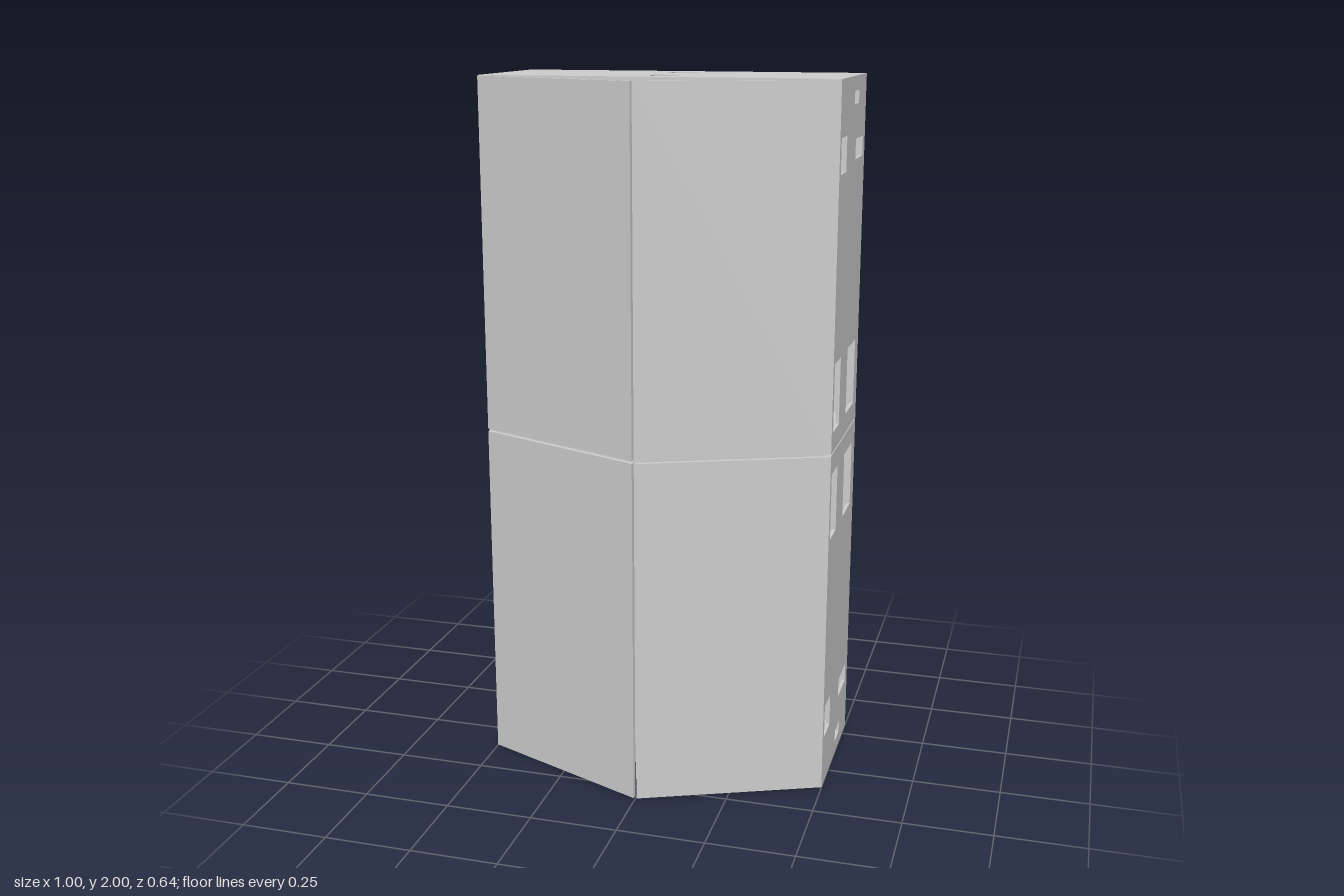
import * as THREE from 'three';

const T = 0.01; // panel thickness
const BACK = -0.311, FRONT = 0.105;
const material = new THREE.MeshStandardMaterial({ color: 0xcccccc, flatShading: true });

// Closed outline from a list of [x, y] corners
function outline(points, Type = THREE.Shape) {
  return new Type(points.map(([x, y]) => new THREE.Vector2(x, y)));
}
const rect = (x0, x1, y0, y1) => [[x0, y0], [x1, y0], [x1, y1], [x0, y1]];

// Flat sheet with rectangular cut-outs, each [x0, x1, y0, y1]
function sheet(bounds, holes, depth = T) {
  const shape = outline(rect(...bounds));
  holes.forEach((h) => shape.holes.push(outline(rect(...h).reverse(), THREE.Path)));
  return new THREE.ExtrudeGeometry(shape, { depth, bevelEnabled: false });
}

function add(group, name, geometry) {
  const mesh = new THREE.Mesh(geometry, material);
  mesh.name = name;
  group.add(mesh);
}

// Cut-outs in the equipped side: [z0, z1, y0, y1], given for the upper cabinet
const sideCutouts = [
  [0.0, 0.09, 1.755, 1.85],
  [-0.275, -0.15, 1.775, 1.83],
  [-0.185, -0.11, 1.925, 1.96],
  [-0.005, 0.09, 1.06, 1.25],
  [-0.255, -0.12, 1.06, 1.25],
];
const squareRows = [[-0.245, -0.165], [-0.035, 0.04]];

function cabinet(upper) {
  const g = new THREE.Group();
  g.name = upper ? 'upperCabinet' : 'lowerCabinet';
  const lo = upper ? 1.002 : 0, hi = upper ? 2 : 0.998;
  const mid = upper ? 1.5 : 0.5;

  // Side walls: sheet in z/y, thickness running towards -x
  const cuts = sideCutouts.map(([z0, z1, y0, y1]) => (upper ? [z0, z1, y0, y1] : [z0, z1, 2 - y1, 2 - y0]));
  const vents = squareRows.map(([z0, z1]) => [z0, z1, mid - 0.038, mid + 0.038]);
  const side = [BACK, FRONT, lo, hi];
  add(g, 'connectorSide', sheet(side, cuts).rotateY(-Math.PI / 2).translate(0.5, 0, 0));
  add(g, 'plainSide', sheet(side, vents).rotateY(-Math.PI / 2).translate(-0.5 + T, 0, 0));

  // Top and bottom: sheet in x/z, thickness running down; outer one has square holes
  const lid = [-0.5 + T, 0.5 - T, BACK, FRONT - 0.001];
  const squares = squareRows.map(([z0, z1]) => [-0.04, 0.038, z0, z1]);
  add(g, 'topPanel', sheet(lid, upper ? squares : []).rotateX(Math.PI / 2).translate(0, hi, 0));
  add(g, 'bottomPanel', sheet(lid, upper ? [] : squares).rotateX(Math.PI / 2).translate(0, lo + T, 0));

  // Back panel, slightly inset at its rim
  add(g, 'backPanel', sheet([-0.497, 0.497, lo + 0.003, hi - 0.003], []).translate(0, 0, -0.32));

  // Inner front wall behind the angled leaves
  add(g, 'innerFront', sheet([-0.5 + T, 0.5 - T, lo + T, hi - T], []).translate(0, 0, FRONT - T - 0.002));

  // Two angled front leaves meeting at the centre, mitred at both ends
  for (const s of [1, -1]) {
    const plan = [[0.5, 0.102], [0.5, 0.112], [0.004, 0.32], [0.002, 0.308], [0.49, 0.102]];
    const leaf = new THREE.ExtrudeGeometry(outline(plan.map(([x, z]) => [s * x, z])), {
      depth: hi - lo - 0.004,
      bevelEnabled: false,
    });
    add(g, s > 0 ? 'leftFrontLeaf' : 'rightFrontLeaf', leaf.rotateX(Math.PI / 2).translate(0, hi - 0.002, 0));
  }
  return g;
}

export function createModel() {
  const model = new THREE.Group();
  model.name = 'stackedCabinets';
  model.add(cabinet(false), cabinet(true));
  return model;
}
